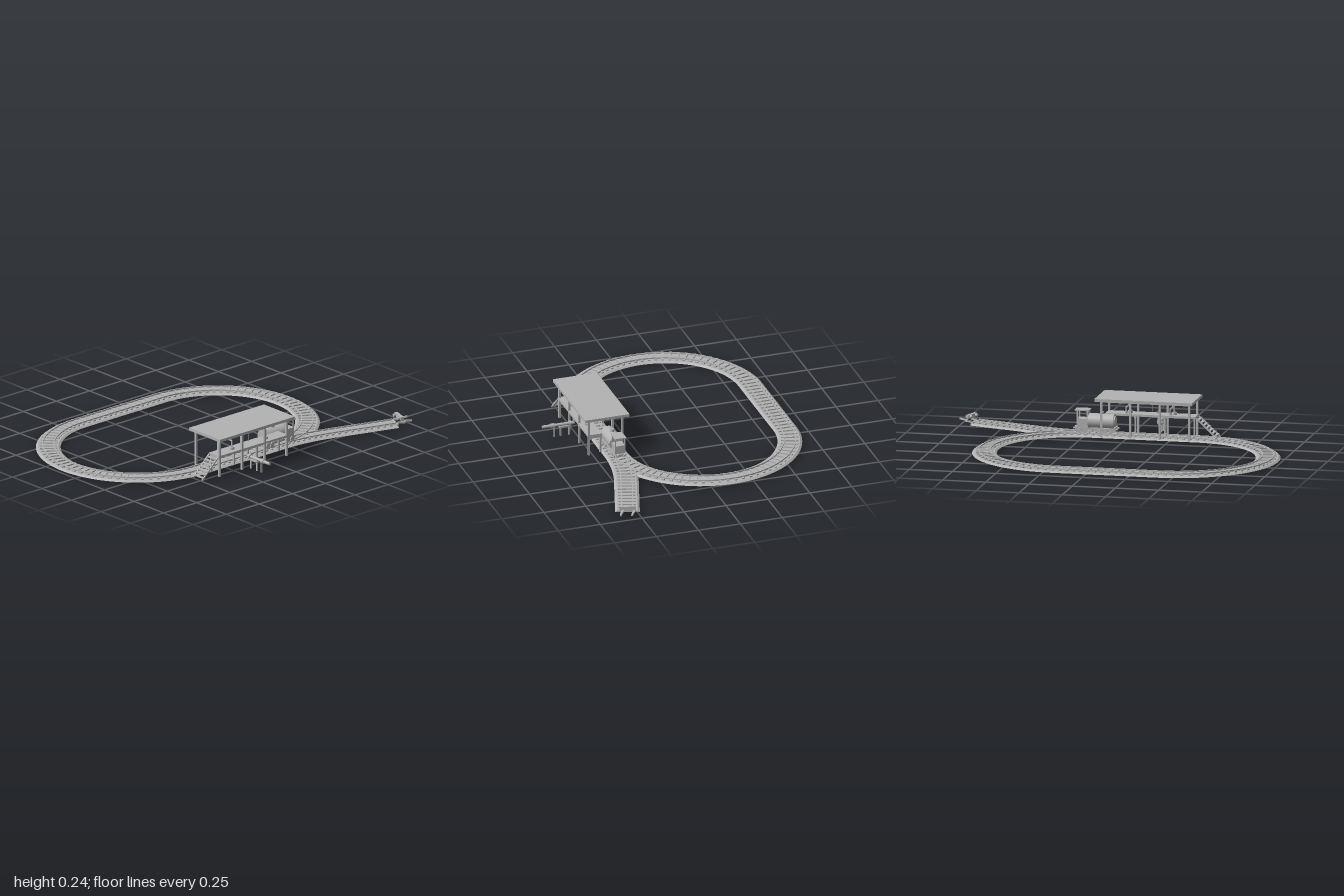
import * as THREE from 'three';
import { mergeGeometries } from 'three/addons/utils/BufferGeometryUtils.js';

const grey = new THREE.MeshStandardMaterial({ color: 0xb2b2b2 });
grey.name = 'plain grey';

function add(parent, name, geo, x = 0, y = 0, z = 0) {
  const m = new THREE.Mesh(geo, grey);
  m.name = name;
  m.position.set(x, y, z);
  parent.add(m);
  return m;
}
// box given by its limits
function block(parent, name, x0, x1, y0, y1, z0, z1) {
  return add(parent, name, new THREE.BoxGeometry(x1 - x0, y1 - y0, z1 - z0),
    (x0 + x1) / 2, (y0 + y1) / 2, (z0 + z1) / 2);
}
function cyl(parent, name, r, len, axis, x, y, z, sides = 16) {
  const g = new THREE.CylinderGeometry(r, r, len, sides);
  if (axis === 'x') g.rotateZ(Math.PI / 2);
  if (axis === 'z') g.rotateX(Math.PI / 2);
  return add(parent, name, g, x, y, z);
}
// square beam between two points
function beam(parent, name, a, b, t) {
  const p = new THREE.Vector3(...a), q = new THREE.Vector3(...b);
  const m = add(parent, name, new THREE.BoxGeometry(t, t, p.distanceTo(q)));
  m.position.copy(p).add(q).multiplyScalar(0.5);
  m.lookAt(q);
  return m;
}

// walk along [length, curvature] segments; heading 0 points to -z
function frames(x, z, segments, step) {
  let a = 0;
  const out = [{ x, z, a }];
  for (const [len, k] of segments) {
    const n = Math.ceil(len / step), d = len / n;
    for (let i = 0; i < n; i++) {
      x += d * Math.sin(a + k * d / 2);
      z -= d * Math.cos(a + k * d / 2);
      a += k * d;
      out.push({ x, z, a });
    }
  }
  return out;
}
// sweep a counterclockwise [across, height] profile along frames
function sweep(path, profile, caps) {
  const pos = [], n = profile.length;
  const put = (f, [u, y]) => pos.push(f.x + u * Math.cos(f.a), y, f.z + u * Math.sin(f.a));
  for (let i = 0; i < path.length - 1; i++) {
    for (let j = 0; j < n; j++) {
      const f = path[i], g = path[i + 1], p = profile[j], q = profile[(j + 1) % n];
      put(f, p); put(g, p); put(g, q);
      put(f, p); put(g, q); put(f, q);
    }
  }
  if (caps) {
    const s = path[0], e = path[path.length - 1];
    for (let j = 1; j < n - 1; j++) {
      put(s, profile[0]); put(s, profile[j]); put(s, profile[j + 1]);
      put(e, profile[0]); put(e, profile[j + 1]); put(e, profile[j]);
    }
  }
  const g = new THREE.BufferGeometry();
  g.setAttribute('position', new THREE.Float32BufferAttribute(pos, 3));
  g.computeVertexNormals();
  return g;
}

function track(parent, name, x, z, segments, caps) {
  const t = new THREE.Group();
  t.name = name;
  parent.add(t);
  const path = frames(x, z, segments, 0.033);
  add(t, 'ballast', sweep(path, [[-0.07, 0.008], [0.07, 0.008], [0.058, 0.016], [-0.058, 0.016]], caps));
  for (const c of [-0.032, 0.032]) {
    add(t, 'rail', sweep(path, [[c - 0.003, 0.02], [c + 0.003, 0.02], [c + 0.003, 0.029], [c - 0.003, 0.029]], caps));
  }
  const ties = frames(x, z, segments, 0.043).slice(1).map(f =>
    new THREE.BoxGeometry(0.098, 0.008, 0.016).rotateY(-f.a).translate(f.x, 0.019, f.z));
  add(t, 'sleepers', mergeGeometries(ties));
  return path[path.length - 1];
}

function bufferStop(parent, end) {
  const b = new THREE.Group();
  b.name = 'bufferStop';
  b.position.set(end.x, 0, end.z);
  b.rotation.y = -end.a;
  parent.add(b);
  block(b, 'bufferBeam', -0.046, 0.046, 0.04, 0.06, -0.04, -0.022);
  for (const s of [-1, 1]) {
    cyl(b, 'bufferPad', 0.009, 0.014, 'z', s * 0.03, 0.05, -0.015, 12);
    beam(b, 'upright', [s * 0.032, 0, -0.032], [s * 0.032, 0.045, -0.032], 0.009);
    beam(b, 'brace', [s * 0.032, 0.052, -0.036], [s * 0.032, 0.008, -0.085], 0.009);
  }
}

function shelter(parent) {
  const s = new THREE.Group();
  s.name = 'loadingShelter';
  parent.add(s);
  block(s, 'roof', 0.29, 0.553, 0.22, 0.236, -0.168, 0.397);
  // posts and roof beams
  for (const z of [0.374, 0.203, 0.032, -0.134]) {
    block(s, 'innerPost', 0.316, 0.328, 0.01, 0.222, z - 0.006, z + 0.006);
    block(s, 'outerPost', 0.515, 0.527, 0, 0.222, z - 0.006, z + 0.006);
    block(s, 'roofBeam', 0.316, 0.527, 0.21, 0.221, z - 0.005, z + 0.005);
    block(s, 'deckBeam', 0.445, 0.527, 0.103, 0.114, z - 0.005, z + 0.005);
    block(s, 'deckPost', 0.447, 0.457, 0.01, 0.114, z - 0.005, z + 0.005);
  }
  for (const x of [0.322, 0.521]) block(s, 'roofRail', x - 0.005, x + 0.005, 0.212, 0.221, -0.14, 0.38);
  block(s, 'deck', 0.443, 0.528, 0.114, 0.126, -0.14, 0.382);

  // stairs down to the ground
  for (const x of [0.447, 0.521]) beam(s, 'stringer', [x, 0.118, 0.385], [x, 0.008, 0.505], 0.008);
  for (let i = 0; i < 7; i++) {
    const y = 0.108 - i * 0.0145, z = 0.397 + i * 0.0165;
    block(s, 'tread', 0.446, 0.522, y - 0.002, y + 0.003, z - 0.008, z + 0.008);
  }

  // filling arms on the deck
  for (const z of [0.25, -0.005]) {
    cyl(s, 'armBase', 0.014, 0.016, 'y', 0.487, 0.132, z);
    const path = new THREE.CurvePath();
    const pts = [[0.487, 0.126], [0.487, 0.176], [0.383, 0.176], [0.383, 0.152]]
      .map(([x, y]) => new THREE.Vector3(x, y, z));
    for (let i = 0; i < 3; i++) path.add(new THREE.LineCurve3(pts[i], pts[i + 1]));
    add(s, 'fillingArm', new THREE.TubeGeometry(path, 40, 0.005, 8));
    cyl(s, 'nozzle', 0.007, 0.016, 'y', 0.383, 0.15, z, 12);
  }
  cyl(s, 'hangingRod', 0.002, 0.055, 'y', 0.487, 0.165, 0.122, 8);

  // supply pipe with valve and prop
  cyl(s, 'supplyPipe', 0.009, 0.19, 'x', 0.605, 0.071, 0.153);
  cyl(s, 'pipeRiser', 0.007, 0.05, 'y', 0.512, 0.09, 0.153, 12);
  cyl(s, 'pipeFlange', 0.015, 0.012, 'x', 0.535, 0.071, 0.153);
  cyl(s, 'valve', 0.013, 0.022, 'x', 0.64, 0.071, 0.153);
  block(s, 'pipeProp', 0.626, 0.632, 0, 0.068, 0.148, 0.158);
  block(s, 'pipeTray', 0.53, 0.6, 0.052, 0.061, 0.144, 0.164);
  for (const x of [0.54, 0.59]) block(s, 'trayLeg', x - 0.004, x + 0.004, 0, 0.053, 0.149, 0.157);
}

function locomotive(parent) {
  const l = new THREE.Group();
  l.name = 'locomotive';
  l.position.x = 0.385;
  parent.add(l);
  block(l, 'frame', -0.03, 0.03, 0.042, 0.056, -0.295, -0.062);
  cyl(l, 'boiler', 0.042, 0.148, 'z', 0, 0.092, -0.146, 28);
  cyl(l, 'boilerDoor', 0.03, 0.008, 'z', 0, 0.092, -0.07, 24);
  block(l, 'frontBeam', -0.032, 0.032, 0.04, 0.062, -0.068, -0.06);
  cyl(l, 'dome', 0.012, 0.02, 'y', 0, 0.138, -0.145);
  // cab with open sides
  block(l, 'cabLower', -0.03, 0.03, 0.056, 0.105, -0.285, -0.22);
  for (const x of [-0.027, 0.027]) {
    for (const z of [-0.281, -0.224]) block(l, 'cabPillar', x - 0.003, x + 0.003, 0.105, 0.152, z - 0.004, z + 0.004);
  }
  block(l, 'cabFront', -0.03, 0.03, 0.105, 0.152, -0.224, -0.219);
  block(l, 'cabRoof', -0.033, 0.033, 0.15, 0.157, -0.296, -0.214);
  // wheels, axles and buffers
  for (const z of [-0.085, -0.118, -0.235, -0.268]) {
    cyl(l, 'axle', 0.004, 0.064, 'x', 0, 0.042, z, 8);
    for (const x of [-0.032, 0.032]) cyl(l, 'wheel', 0.014, 0.007, 'x', x, 0.042, z, 20);
  }
  for (const x of [-0.02, 0.02]) {
    cyl(l, 'rearBuffer', 0.006, 0.012, 'z', x, 0.05, -0.3, 10);
    cyl(l, 'frontBuffer', 0.006, 0.012, 'z', x, 0.05, -0.056, 10);
  }
}

export function createModel() {
  const root = new THREE.Group();
  root.name = 'railwayWithLoadingShelter';
  const R = 0.505, half = Math.PI * R;
  track(root, 'ovalTrack', 0.38, 0.415, [[0.605, 0], [half, -1 / R], [0.605, 0], [half, -1 / R]], false);
  const end = track(root, 'sidingTrack', 0.38, -0.19, [[0.352, 1 / 1.12], [0.396, 0]], true);
  bufferStop(root, end);
  shelter(root);
  locomotive(root);
  return root;
}
